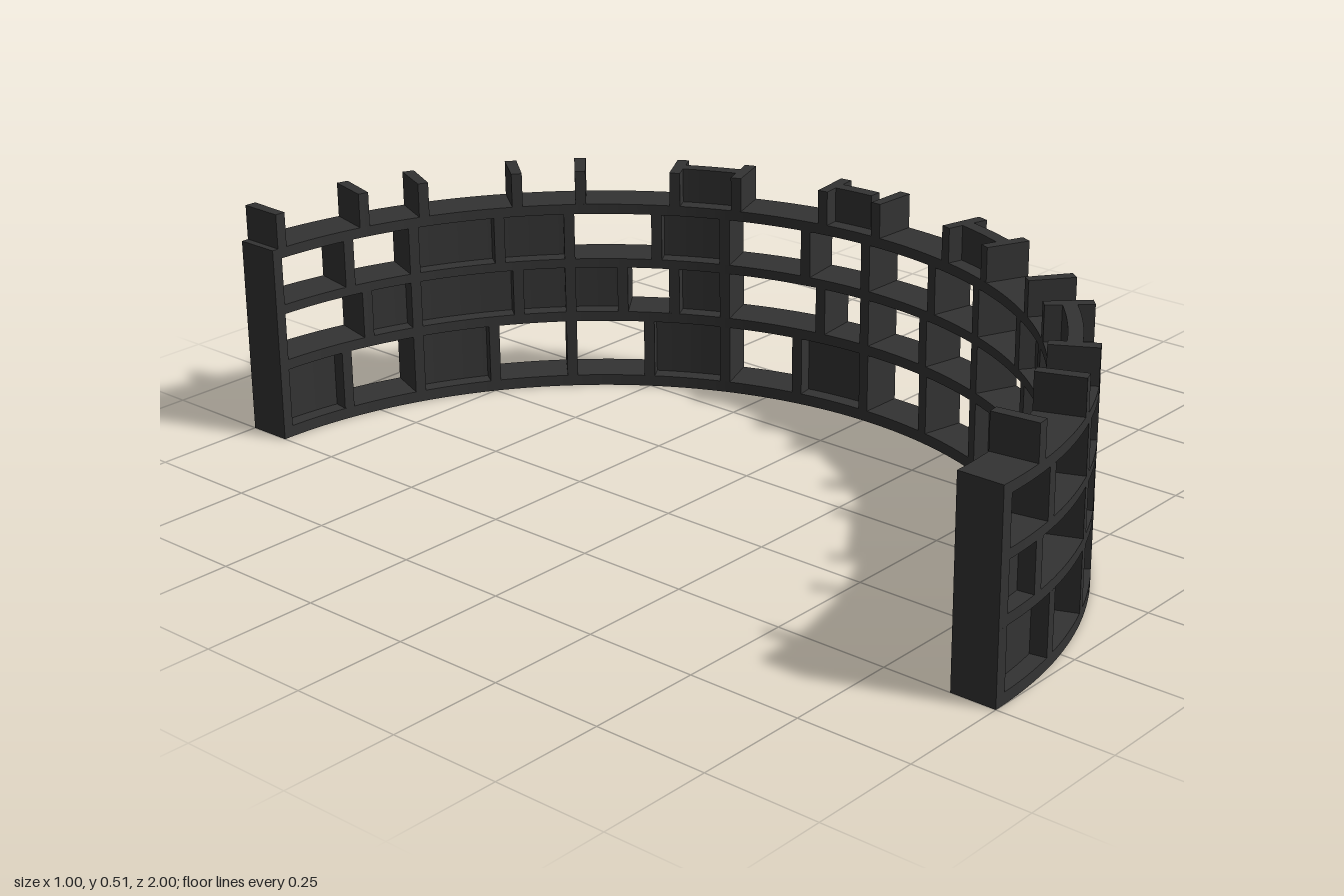
import * as THREE from 'three';

// Half-ring shelving: every part is a ring sector about (-0.5, 0).
// Angles are in degrees, 0 at the +z end and 180 at the -z end.
const INNER = 0.9, OUTER = 1, BAY = 22.5, FIN = 1.5;

const material = new THREE.MeshStandardMaterial({ color: 0x333333, flatShading: true });

function sector(name, from, to, y0, y1, rIn = INNER, rOut = OUTER) {
  const a = THREE.MathUtils.degToRad(from - 90), b = THREE.MathUtils.degToRad(to - 90);
  const shape = new THREE.Shape();
  shape.absarc(0, 0, rOut, a, b, false);
  shape.absarc(0, 0, rIn, b, a, true);
  const geometry = new THREE.ExtrudeGeometry(shape, {
    depth: y1 - y0, bevelEnabled: false, curveSegments: Math.max(1, Math.round((to - from) / 2.8)),
  });
  geometry.rotateX(-Math.PI / 2).translate(-0.5, y0, 0);
  const mesh = new THREE.Mesh(geometry, material);
  mesh.name = name;
  return mesh;
}

// Upright centred on an angle, kept inside the half ring
function upright(name, angle, y0, y1) {
  const start = THREE.MathUtils.clamp(angle - FIN / 2, 0, 180 - FIN);
  return sector(name, start, start + FIN, y0, y1);
}

const panel = (from, to, y0, y1) => sector('backPanel', from, to, y0, y1, 0.935, 0.965);

// Tiers: height range, divider angles inside the bays, closed cells
const tiers = [
  {
    name: 'lowerTier', y: [0.025, 0.157],
    dividers: [11.25, 33.75, 56.25, 78.75, 101.25, 123.75, 146.25, 168.75],
    panels: [[0, 11.25], [56.25, 67.5], [90, 101.25], [112.5, 123.75], [146.25, 157.5], [168.75, 180]],
  },
  {
    name: 'middleTier', y: [0.18, 0.286],
    dividers: [7.5, 30, 52.5, 79, 97.5, 120, 127.5, 142.5, 165],
    panels: [[0, 7.5], [45, 52.5], [112.5, 120], [127.5, 135], [135, 157.5], [157.5, 165]],
  },
  {
    name: 'upperTier', y: [0.307, 0.413],
    dividers: [10, 32.5, 55, 77.5, 100, 122.5, 145, 167.5],
    panels: [[45, 55], [112.5, 122.5], [135, 157.5]],
  },
];

export function createModel() {
  const model = new THREE.Group();
  model.name = 'curvedShelving';

  // Shelf boards
  for (const [y0, y1] of [[0, 0.025], [0.157, 0.18], [0.286, 0.307], [0.413, 0.436]]) {
    model.add(sector('shelfBoard', 0, 180, y0, y1));
  }

  // Closed-in tiers
  for (const { name, y, dividers, panels } of tiers) {
    const tier = new THREE.Group();
    tier.name = name;
    for (let i = 0; i <= 8; i++) tier.add(upright('bayUpright', i * BAY, ...y));
    for (const angle of dividers) tier.add(upright('divider', angle, ...y));
    for (const [from, to] of panels) tier.add(panel(from, to, ...y));
    model.add(tier);
  }

  // Open top tier: two fins per bay and a few panels
  const top = new THREE.Group();
  top.name = 'topTier';
  for (let i = 0; i < 8; i++) {
    for (const offset of [7.3, 20.8]) top.add(upright('topFin', i * BAY + offset, 0.436, 0.513));
  }
  for (const [from, to] of [[29.8, 43.3], [65.8, 74.8], [90.8, 97.3], [110.8, 119.8]]) {
    top.add(panel(from, to, 0.436, 0.513));
  }
  model.add(top);
  return model;
}
